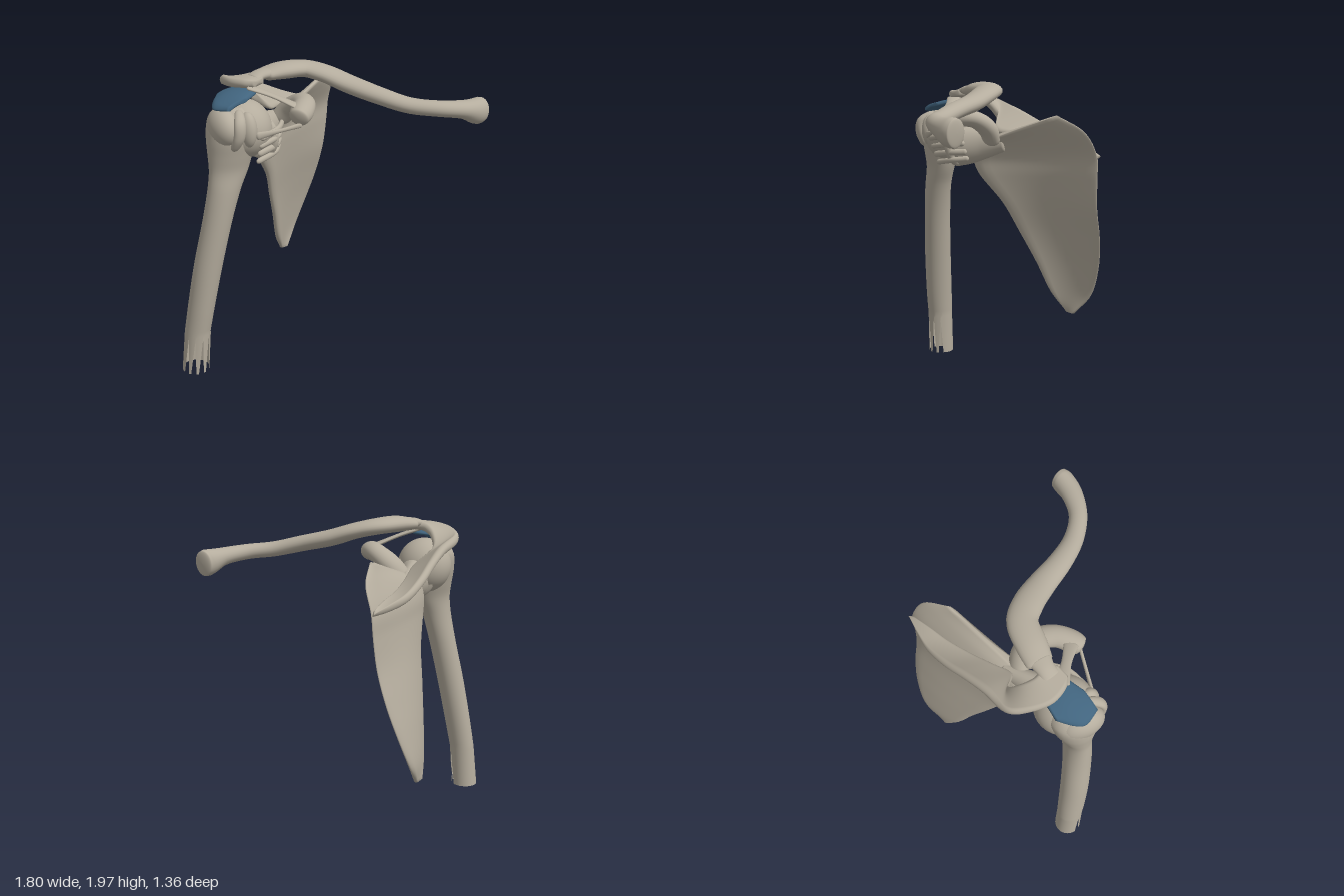
import * as THREE from 'three';

const V = (x, y, z) => new THREE.Vector3(x, y, z);

// Skin closed rings into one smooth surface
function loft(rings, capStart = true, capEnd = true) {
  const n = rings[0].length, pos = [], idx = [];
  rings.forEach(r => r.forEach(p => pos.push(p.x, p.y, p.z)));
  for (let i = 0; i < rings.length - 1; i++) {
    for (let k = 0; k < n; k++) {
      const a = i * n + k, b = i * n + (k + 1) % n;
      idx.push(a, b, b + n, a, b + n, a + n);
    }
  }
  const cap = (i, flip) => {
    const c = rings[i].reduce((s, p) => s.add(p), V(0, 0, 0)).divideScalar(n);
    const ci = pos.length / 3;
    pos.push(c.x, c.y, c.z);
    for (let k = 0; k < n; k++) {
      const a = i * n + k, b = i * n + (k + 1) % n;
      if (flip) idx.push(ci, b, a); else idx.push(ci, a, b);
    }
  };
  if (capStart) cap(0, true);
  if (capEnd) cap(rings.length - 1, false);
  const g = new THREE.BufferGeometry();
  g.setAttribute('position', new THREE.Float32BufferAttribute(pos, 3));
  g.setIndex(idx);
  g.computeVertexNormals();
  return g;
}

// Oval tube through stations [x, y, z, radius along ref, radius across], rounded ends
function sweep(stations, ref = V(0, 1, 0), endT = 0.05, steps = 48, sides = 24) {
  const path = new THREE.CatmullRomCurve3(stations.map(s => V(s[0], s[1], s[2])));
  const radii = new THREE.CatmullRomCurve3(stations.map(s => V(s[3], s[4], 0)), false, 'catmullrom');
  const rings = [];
  for (let i = 0; i <= steps; i++) {
    const t = (1 - Math.cos(Math.PI * i / steps)) / 2;
    const c = path.getPoint(t), T = path.getTangent(t), r = radii.getPoint(t);
    const U = ref.clone().addScaledVector(T, -T.dot(ref)).normalize();
    const W = T.clone().cross(U);
    const e = Math.min(1, Math.min(t, 1 - t) / endT);
    const f = Math.max(0.03, Math.sqrt(1 - (1 - e) ** 2));
    const ring = [];
    for (let k = 0; k < sides; k++) {
      const a = k / sides * Math.PI * 2;
      ring.push(c.clone().addScaledVector(U, r.x * f * Math.cos(a)).addScaledVector(W, r.y * f * Math.sin(a)));
    }
    rings.push(ring);
  }
  return loft(rings);
}

// Plate between two edges; rows are [edge A xyz, edge B xyz, half thickness A, B, bulge]
function slab(rows, steps = 48, sides = 40) {
  const curve = o => new THREE.CatmullRomCurve3(rows.map(r => V(r[o], r[o + 1], r[o + 2])), false, 'catmullrom');
  const A = curve(0), B = curve(3), H = curve(6), rings = [];
  const mid = t => A.getPoint(t).add(B.getPoint(t)).multiplyScalar(0.5);
  for (let i = 0; i <= steps; i++) {
    const t = i / steps, a = A.getPoint(t), b = B.getPoint(t), h = H.getPoint(t);
    const T = mid(Math.min(1, t + 0.01)).sub(mid(Math.max(0, t - 0.01)));
    const N = b.clone().sub(a).cross(T).normalize();
    const ring = [];
    for (let k = 0; k < sides; k++) {
      const th = k / sides * Math.PI * 2, s = 0.5 - 0.5 * Math.cos(th), sn = Math.sin(th);
      const thick = (h.y + (h.x - h.y) * (1 - s) ** 2) * Math.sign(sn) * Math.min(1, Math.abs(sn) * 1.8);
      ring.push(a.clone().lerp(b, s).addScaledVector(N, thick + h.z * 4 * s * (1 - s)));
    }
    rings.push(ring);
  }
  return loft(rings);
}

export function createModel() {
  const model = new THREE.Group();
  const bone = new THREE.MeshStandardMaterial({ name: 'bone', color: 0xb5ad9e, side: THREE.DoubleSide });
  const blue = new THREE.MeshStandardMaterial({ name: 'bursaBlue', color: 0x41647e });
  const add = (name, geo, mat = bone) => {
    const m = new THREE.Mesh(geo, mat);
    m.name = name;
    model.add(m);
    return m;
  };
  const ball = (name, c, r) => {
    const m = add(name, new THREE.SphereGeometry(1, 40, 28));
    m.position.set(...c);
    m.scale.set(...r);
  };

  // Upper arm bone: horizontal ovals [y, xMin, xMax, zMin, zMax], splintered lower end
  const levels = [
    [0.31, -0.87, -0.705, -0.125, 0.05], [0.5, -0.845, -0.675, -0.11, 0.075],
    [0.8, -0.80, -0.62, -0.08, 0.105], [1.1, -0.74, -0.555, -0.05, 0.13],
    [1.3, -0.705, -0.495, -0.035, 0.14], [1.42, -0.69, -0.44, -0.04, 0.14],
    [1.52, -0.69, -0.41, -0.07, 0.16], [1.62, -0.69, -0.39, -0.1, 0.18],
    [1.72, -0.675, -0.39, -0.11, 0.18], [1.78, -0.63, -0.42, -0.08, 0.15], [1.81, -0.57, -0.46, -0.03, 0.1]];
  const oval = ([y, x0, x1, z0, z1]) => Array.from({ length: 32 }, (_, k) => {
    const a = k / 32 * Math.PI * 2;
    return V((x0 + x1) / 2 + (x1 - x0) / 2 * Math.cos(a), y, (z0 + z1) / 2 - (z1 - z0) / 2 * Math.sin(a));
  });
  const centres = new THREE.CatmullRomCurve3(levels.map(l => V((l[1] + l[2]) / 2, l[0], (l[3] + l[4]) / 2)));
  const sizes = new THREE.CatmullRomCurve3(levels.map(l => V((l[2] - l[1]) / 2, (l[4] - l[3]) / 2, 0)), false, 'catmullrom');
  const shaft = [];
  for (let i = 0; i <= 50; i++) {
    const c = centres.getPoint(i / 50), s = sizes.getPoint(i / 50);
    shaft.push(oval([c.y, c.x - s.x, c.x + s.x, c.z - s.y, c.z + s.y]));
  }
  const tips = oval([0.03, -0.895, -0.72, -0.14, 0.04]);
  [18, 21, 24, 27, 30].forEach(k => tips[k].copy(shaft[0][k]).setY(0.29));
  add('humerusShaft', loft([tips, ...shaft], false, true));
  ball('humerusHead', [-0.45, 1.65, 0.02], [0.175, 0.18, 0.18]);
  ball('greaterTubercle', [-0.595, 1.69, 0.06], [0.09, 0.12, 0.14]);
  ball('lesserTubercle', [-0.48, 1.68, 0.15], [0.055, 0.11, 0.07]);
  // Tendon lying in the groove between the tubercles
  add('bicepsTendon', sweep([[-0.52, 1.80, 0.12, 0.025, 0.02], [-0.55, 1.74, 0.2, 0.035, 0.025],
    [-0.56, 1.66, 0.205, 0.035, 0.025], [-0.58, 1.57, 0.16, 0.025, 0.02]], V(1, 0, 0), 0.12));

  // Shoulder blade, from the lower tip to the upper border
  add('scapulaBlade', slab([
    [0.10, 0.465, -0.585, 0.165, 0.46, -0.605, 0.012, 0.012, 0],
    [0.03, 0.60, -0.50, 0.27, 0.60, -0.67, 0.025, 0.015, -0.015],
    [-0.03, 0.80, -0.42, 0.36, 0.80, -0.665, 0.03, 0.014, -0.03],
    [-0.10, 1.00, -0.33, 0.42, 1.00, -0.63, 0.032, 0.013, -0.04],
    [-0.17, 1.20, -0.235, 0.45, 1.20, -0.585, 0.035, 0.013, -0.045],
    [-0.28, 1.38, -0.12, 0.468, 1.39, -0.57, 0.045, 0.013, -0.045],
    [-0.31, 1.48, -0.09, 0.475, 1.54, -0.56, 0.05, 0.014, -0.04],
    [-0.27, 1.56, -0.10, 0.45, 1.69, -0.48, 0.05, 0.014, -0.02],
    [-0.18, 1.62, -0.10, 0.32, 1.79, -0.36, 0.035, 0.012, 0]]));

  // Ridge on the back of the blade, turning forward into the roof of the joint
  add('scapularSpineAndAcromion', slab([
    [0.475, 1.53, -0.58, 0.455, 1.55, -0.56, 0.012, 0.012, 0],
    [0.33, 1.56, -0.58, 0.33, 1.58, -0.495, 0.025, 0.014, 0],
    [0.20, 1.60, -0.57, 0.20, 1.60, -0.43, 0.028, 0.014, 0],
    [0.05, 1.67, -0.52, 0.05, 1.63, -0.335, 0.028, 0.014, 0],
    [-0.10, 1.75, -0.45, -0.07, 1.66, -0.25, 0.028, 0.016, 0],
    [-0.25, 1.82, -0.385, -0.17, 1.68, -0.18, 0.03, 0.02, 0],
    [-0.42, 1.87, -0.325, -0.27, 1.78, -0.24, 0.03, 0.025, 0],
    [-0.48, 1.895, -0.22, -0.31, 1.87, -0.19, 0.03, 0.025, 0],
    [-0.495, 1.91, -0.08, -0.32, 1.92, -0.11, 0.028, 0.026, 0],
    [-0.45, 1.92, 0.02, -0.29, 1.93, -0.04, 0.026, 0.026, 0],
    [-0.39, 1.92, 0.06, -0.31, 1.93, 0.03, 0.018, 0.018, 0]], 64));

  // Neck, socket rim and forward hook
  add('scapulaNeck', sweep([[-0.08, 1.6, -0.21, 0.05, 0.04], [-0.21, 1.59, -0.11, 0.1, 0.065],
    [-0.31, 1.58, -0.03, 0.13, 0.1], [-0.36, 1.58, 0.01, 0.14, 0.115]], undefined, 0.03));
  const rim = add('glenoidRim', new THREE.TorusGeometry(0.12, 0.026, 16, 40));
  rim.position.set(-0.345, 1.585, 0.01);
  rim.lookAt(-1.215, 1.585, 0.51);
  add('coracoidHook', sweep([[-0.14, 1.6, -0.14, 0.07, 0.05], [-0.08, 1.7, -0.07, 0.075, 0.06],
    [-0.06, 1.76, 0.03, 0.07, 0.055], [-0.09, 1.77, 0.13, 0.068, 0.055],
    [-0.155, 1.75, 0.21, 0.07, 0.06], [-0.20, 1.73, 0.25, 0.055, 0.055]], V(1, 0, 0), 0.07));

  // S-shaped collar bone
  add('clavicle', sweep([
    [-0.285, 1.94, -0.05, 0.035, 0.075], [-0.15, 1.95, -0.05, 0.05, 0.09],
    [0.0, 1.945, -0.04, 0.05, 0.09], [0.1, 1.92, 0.04, 0.05, 0.09],
    [0.2, 1.87, 0.17, 0.052, 0.082], [0.31, 1.825, 0.34, 0.05, 0.07],
    [0.43, 1.785, 0.48, 0.048, 0.06], [0.57, 1.77, 0.575, 0.048, 0.056],
    [0.73, 1.75, 0.61, 0.056, 0.065], [0.84, 1.725, 0.605, 0.082, 0.07],
    [0.89, 1.72, 0.59, 0.078, 0.062]], undefined, 0.025, 72));

  // Ligaments
  add('acromioclavicularLigament', sweep([[-0.37, 1.93, -0.02, 0.022, 0.06],
    [-0.31, 1.945, -0.035, 0.03, 0.055], [-0.24, 1.95, -0.045, 0.035, 0.07]], undefined, 0.12));
  add('coracoacromialLigament', sweep([[-0.41, 1.90, 0.01, 0.014, 0.05],
    [-0.29, 1.85, 0.1, 0.012, 0.03], [-0.17, 1.79, 0.19, 0.014, 0.045]]));
  add('coracohumeralLigament', sweep([[-0.17, 1.69, 0.245, 0.016, 0.01],
    [-0.30, 1.67, 0.225, 0.012, 0.01], [-0.45, 1.65, 0.2, 0.025, 0.012]]));
  [[1.66, 1.63, 0.02], [1.60, 1.575, 0.018], [1.545, 1.52, 0.02], [1.5, 1.465, 0.018]].forEach(([y0, y1, r], i) => {
    add('glenohumeralLigament' + (i + 1), sweep([[-0.2, y0, 0.05 - i * 0.015, r, 0.014],
      [-0.27, (y0 + y1) / 2 + 0.005, 0.13 - i * 0.015, r, 0.016],
      [-0.42, y1, 0.2 - i * 0.02, r, 0.014]], undefined, 0.08));
  });

  // Fluid sac under the roof of the joint
  add('bursa', slab([
    [-0.57, 1.835, -0.09, -0.44, 1.86, -0.11, 0.012, 0.012, -0.01],
    [-0.63, 1.815, -0.01, -0.37, 1.87, -0.04, 0.016, 0.016, -0.022],
    [-0.65, 1.805, 0.06, -0.36, 1.87, 0.04, 0.016, 0.016, -0.022],
    [-0.60, 1.815, 0.15, -0.47, 1.85, 0.12, 0.012, 0.012, -0.01]], 24), blue);

  return model;
}
